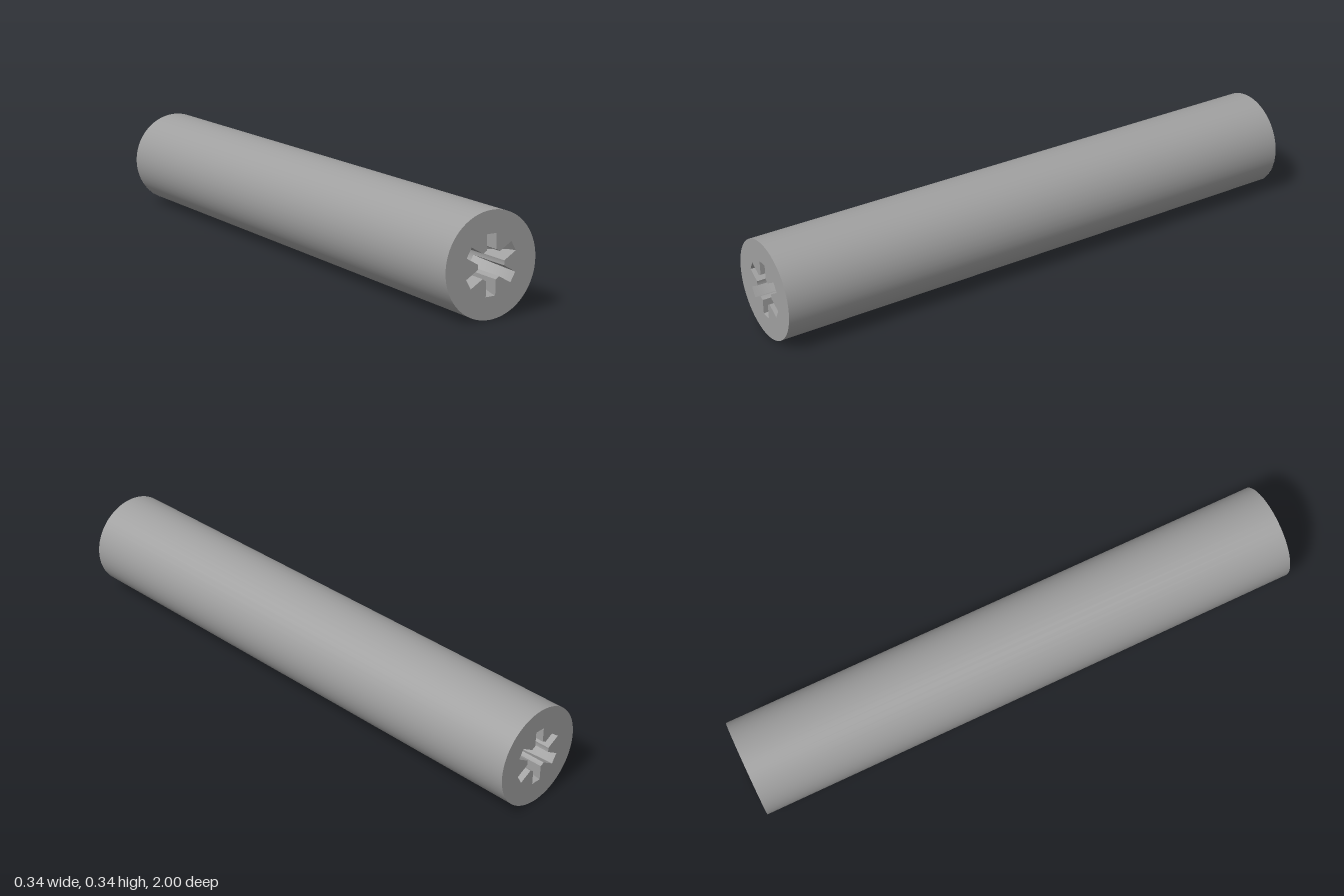
import * as THREE from 'three';

const R = 0.17, BORE = 0.05, SLOT_R = 0.097, HALF_W = 0.018, DEPTH = 0.15;
const CENTRE_Y = 0.171, SLOTS = 6, STEPS = 8;
const INNER = Math.sqrt(BORE * BORE - HALF_W * HALF_W); // where a slot wall meets the bore
const HALF_ANGLE = Math.asin(HALF_W / BORE);

// Slot floor: runs in from the end, then curves towards the bore
const floorPoints = Array.from({ length: STEPS + 1 }, (_, i) => {
  const t = i / STEPS;
  return new THREE.Vector2(SLOT_R - (SLOT_R - INNER) * t ** 1.5, 1 - DEPTH * t);
});

// End face with a six-slotted hole
function faceGeometry() {
  const shape = new THREE.Shape().absarc(0, 0, R, 0, Math.PI * 2, false);
  const hole = [];
  for (let i = 0; i < SLOTS; i++) {
    const a = Math.PI / 2 + (i * Math.PI * 2) / SLOTS;
    const add = (r, w) => hole.push(new THREE.Vector2(
      r * Math.cos(a) - w * Math.sin(a), r * Math.sin(a) + w * Math.cos(a)));
    add(INNER, -HALF_W);
    add(SLOT_R, -HALF_W);
    add(SLOT_R, HALF_W);
    add(INNER, HALF_W);
    // Bore arc up to the next slot
    const gap = (Math.PI * 2) / SLOTS - 2 * HALF_ANGLE;
    for (let k = 1; k < 4; k++) {
      const b = a + HALF_ANGLE + (gap * k) / 4;
      hole.push(new THREE.Vector2(BORE * Math.cos(b), BORE * Math.sin(b)));
    }
  }
  shape.holes.push(new THREE.Path(hole.reverse()));
  return new THREE.ShapeGeometry(shape, 48);
}

// Floor of the upper slot: a strip bent along the floor curve
function floorGeometry() {
  const g = new THREE.PlaneGeometry(2 * HALF_W, 1, 1, STEPS);
  const p = g.attributes.position;
  for (let i = 0; i < p.count; i++) {
    const f = floorPoints[Math.floor(i / 2)];
    p.setXYZ(i, p.getX(i), f.x, f.y);
  }
  g.computeVertexNormals();
  return g;
}

// Side wall of the upper slot, laid in the y-z plane
function wallGeometry() {
  const shape = new THREE.Shape([new THREE.Vector2(INNER, 1), ...floorPoints]);
  const g = new THREE.ShapeGeometry(shape);
  const p = g.attributes.position;
  for (let i = 0; i < p.count; i++) p.setXYZ(i, 0, p.getX(i), p.getY(i));
  g.computeVertexNormals();
  return g;
}

export function createModel() {
  const model = new THREE.Group();
  const grey = new THREE.MeshStandardMaterial({ color: 0xa0a0a0, side: THREE.DoubleSide });
  grey.name = 'grey';

  const add = (parent, name, geometry) => {
    const mesh = new THREE.Mesh(geometry, grey);
    mesh.name = name;
    parent.add(mesh);
    return mesh;
  };

  const rod = new THREE.Group();
  rod.name = 'rod';
  rod.position.y = CENTRE_Y;
  model.add(rod);

  // Smooth outside and the plain middle of the bore
  add(rod, 'outerSurface', new THREE.CylinderGeometry(R, R, 2, 48, 1, true).rotateX(Math.PI / 2));
  add(rod, 'bore', new THREE.CylinderGeometry(BORE, BORE, 2 - 2 * DEPTH, 48, 1, true).rotateX(Math.PI / 2));

  // Slotted socket at each end
  const face = faceGeometry(), floor = floorGeometry(), wall = wallGeometry();
  const gap = (Math.PI * 2) / SLOTS - 2 * HALF_ANGLE;
  // Rib surface between two slots, beginning beside the upper slot
  const rib = new THREE.CylinderGeometry(BORE, BORE, DEPTH, 4, 1, true, Math.PI + HALF_ANGLE, gap)
    .rotateX(Math.PI / 2).translate(0, 0, 1 - DEPTH / 2);

  for (const [name, turn] of [['frontSocket', 0], ['backSocket', Math.PI]]) {
    const socket = new THREE.Group();
    socket.name = name;
    socket.rotation.y = turn;
    rod.add(socket);
    add(socket, 'endFace', face).position.z = 1;
    for (let i = 0; i < SLOTS; i++) {
      const slot = new THREE.Group();
      slot.name = 'slot';
      slot.rotation.z = (i * Math.PI * 2) / SLOTS;
      socket.add(slot);
      add(slot, 'slotFloor', floor);
      for (const s of [-1, 1]) add(slot, 'slotWall', wall).position.x = s * HALF_W;
      add(slot, 'rib', rib);
    }
  }
  return model;
}
